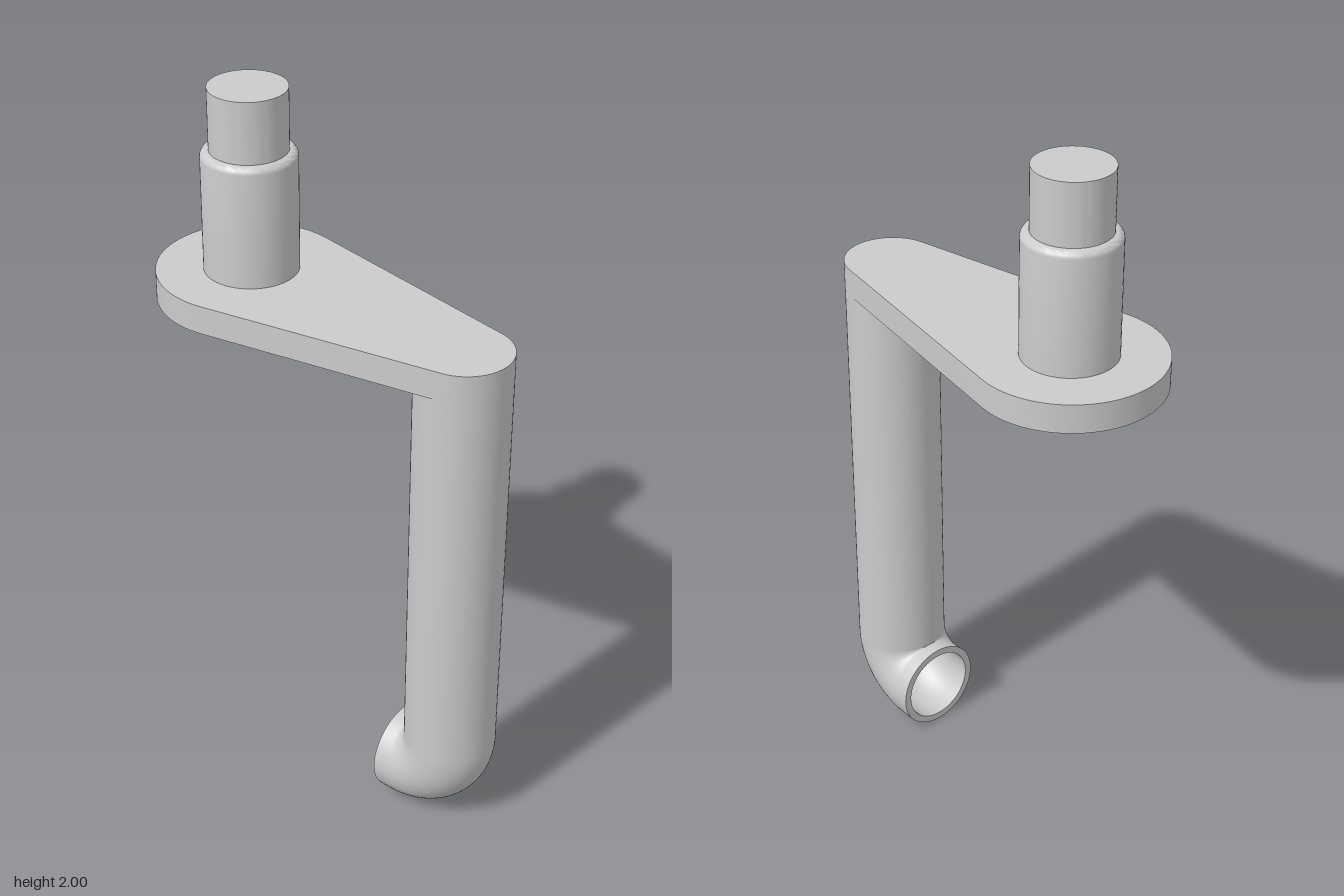
import * as THREE from 'three';
import { toCreasedNormals } from 'three/addons/utils/BufferGeometryUtils.js';

const POST_X = -0.287, PIPE_X = 0.412, R = 0.128, BORE = 0.107;
const PLATE_Y = 1.41, PLATE_T = 0.08, PLATE_R = 0.255;
const BEND_X = PIPE_X - R, BEND_Y = 2 * R, END_X = 0.245;

export function createModel() {
  const model = new THREE.Group();
  const grey = new THREE.MeshStandardMaterial({ color: 0xcccccc });
  const thin = new THREE.MeshStandardMaterial({ color: 0xcccccc, side: THREE.DoubleSide });

  const add = (parent, name, geometry, material = grey) => {
    const mesh = new THREE.Mesh(geometry, material);
    mesh.name = name;
    parent.add(mesh);
    return mesh;
  };

  // Tapered crank plate: two arcs joined by their common tangents
  const a = Math.acos((PLATE_R - R) / (PIPE_X - POST_X));
  const outline = new THREE.Shape();
  outline.absarc(POST_X, 0, PLATE_R, a, 2 * Math.PI - a, false);
  outline.absarc(PIPE_X, 0, R, -a, a, false);
  outline.closePath();
  const plate = new THREE.ExtrudeGeometry(outline, { depth: PLATE_T, bevelEnabled: false, curveSegments: 40 });
  plate.rotateX(-Math.PI / 2).translate(0, PLATE_Y, 0);
  add(model, 'crankPlate', toCreasedNormals(plate, 0.6));

  // Stepped post with a rounded shoulder
  const top = PLATE_Y + PLATE_T, shoulder = 1.83, round = 0.02;
  const profile = [new THREE.Vector2(0, top), new THREE.Vector2(R, top)];
  for (let i = 0; i <= 6; i++) {
    const t = (i / 6) * Math.PI / 2;
    profile.push(new THREE.Vector2(R - round + round * Math.cos(t), shoulder - round + round * Math.sin(t)));
  }
  profile.push(new THREE.Vector2(0.105, shoulder), new THREE.Vector2(0.105, 2), new THREE.Vector2(0, 2));
  const post = toCreasedNormals(new THREE.LatheGeometry(profile, 64), 0.6);
  add(model, 'post', post).position.x = POST_X;

  // Hollow pipe: the same straight, elbow and spout for outside and bore
  const pipe = new THREE.Group();
  pipe.name = 'pipe';
  model.add(pipe);
  for (const [label, r] of [['outer', R], ['bore', BORE]]) {
    const length = PLATE_Y - BEND_Y;
    const straight = new THREE.CylinderGeometry(r, r, length, 64, 1, true);
    add(pipe, label + 'Straight', straight, thin).position.set(PIPE_X, BEND_Y + length / 2, 0);

    const elbow = new THREE.TorusGeometry(R, r, 64, 32, Math.PI / 2).rotateZ(-Math.PI / 2);
    add(pipe, label + 'Elbow', elbow, thin).position.set(BEND_X, BEND_Y, 0);

    const spout = new THREE.CylinderGeometry(r, r, BEND_X - END_X, 64, 1, true).rotateZ(Math.PI / 2);
    add(pipe, label + 'Spout', spout, thin).position.set((BEND_X + END_X) / 2, R, 0);
  }

  // Annular rim at the open end
  const rim = new THREE.RingGeometry(BORE, R, 64).rotateY(-Math.PI / 2);
  add(pipe, 'spoutRim', rim, thin).position.set(END_X, R, 0);

  return model;
}
